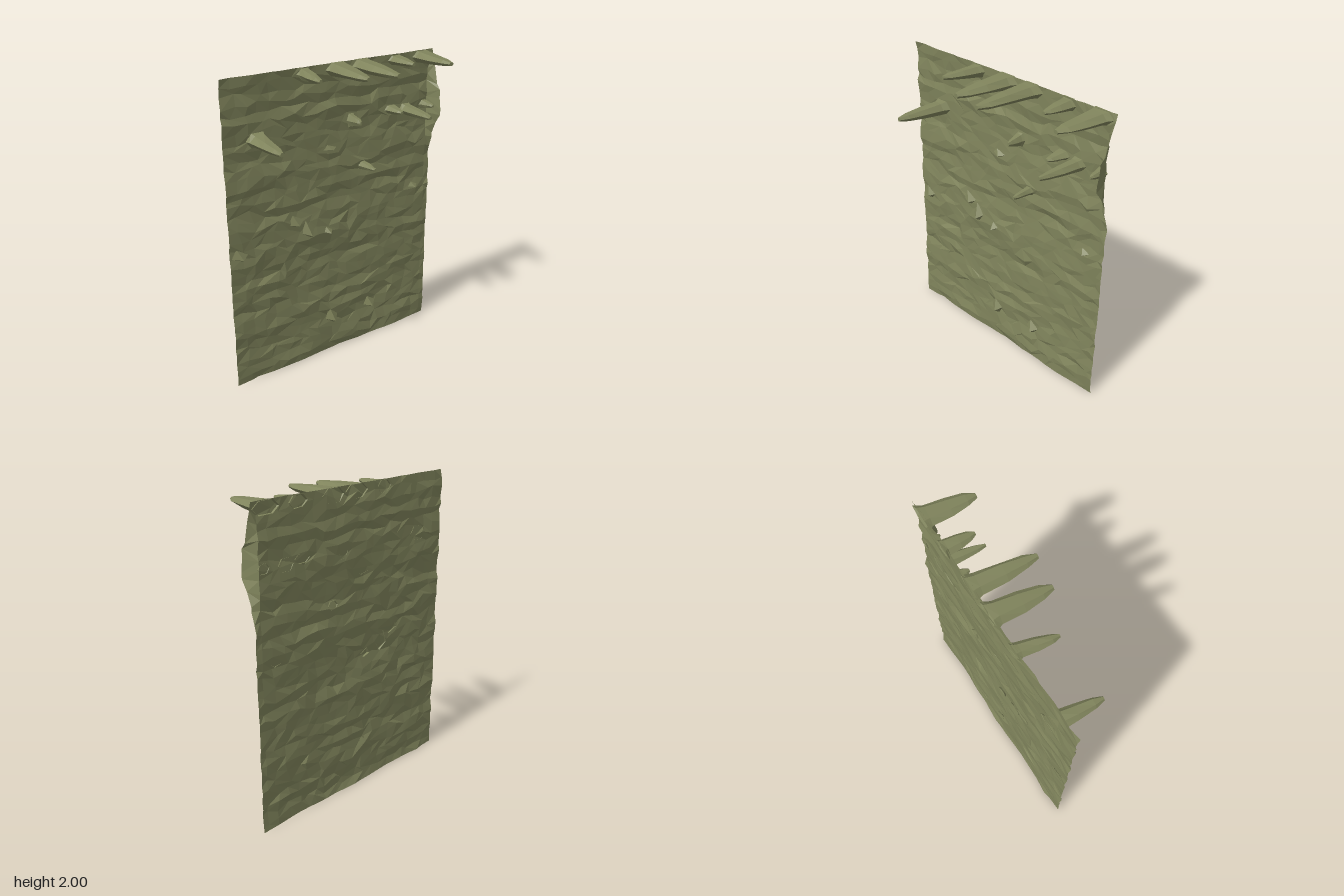
import * as THREE from 'three';

const W = 1.6, H = 2, COLS = 20, ROWS = 36;
const planeZ = (x) => -0.15 - 0.0965 * x;

function seeded(seed) {
  return () => {
    seed = (seed * 1664525 + 1013904223) % 4294967296;
    return seed / 4294967296;
  };
}

function meshFrom(name, positions, index, material) {
  let g = new THREE.BufferGeometry();
  g.setAttribute('position', new THREE.Float32BufferAttribute(positions, 3));
  g.setIndex(index);
  g = g.toNonIndexed();
  g.computeVertexNormals();
  const m = new THREE.Mesh(g, material);
  m.name = name;
  return m;
}

// Slanted sheet of rock: jittered grid with wide, flat strata
function rockSheet(material) {
  const rnd = seeded(7), pos = [], idx = [];
  const jit = (a) => (rnd() - 0.5) * 2 * a;
  for (let r = 0; r <= ROWS; r++) {
    const ledge = jit(0.005);
    let drift = 0;
    for (let c = 0; c <= COLS; c++) {
      const edgeX = c === 0 || c === COLS, edgeY = r === 0 || r === ROWS;
      let x = c === COLS ? W / 2 : -W / 2 + (c / (COLS - 1)) * (W - 0.04);
      let y = (r / ROWS) * H;
      if (!edgeX && c !== COLS - 1) x += jit(0.03);
      if (!edgeY) y += jit(0.02);
      drift = drift * 0.6 + jit(0.006);
      let z = planeZ(x) + ledge + drift + jit(0.004);
      // Lip folded forward at the upper corner
      if (c === COLS && y > 1.36 && y < 1.97) {
        const t = y > 1.62 ? (1.97 - y) / 0.35 : (y - 1.36) / 0.26;
        z += 0.13 * t;
      }
      pos.push(x, y, z);
    }
  }
  const n = COLS + 1;
  for (let r = 0; r < ROWS; r++) {
    for (let c = 0; c < COLS; c++) {
      const a = r * n + c, b = a + 1, d = a + n, e = d + 1;
      if (rnd() < 0.5) idx.push(a, b, e, a, e, d);
      else idx.push(a, b, d, b, e, d);
    }
  }
  return meshFrom('rockSheet', pos, idx, material);
}

// Tongue of rock: six-sided sections shrinking from the wall to a blunt tip
function ledge(name, [x, y, tipZ, halfW, halfH, lean = 0], i, material) {
  const rnd = seeded(31 + i * 17), pos = [], idx = [], N = 6;
  const z0 = planeZ(x) - 0.004;
  const stages = [[0, 1, 1], [0.12, 0.8, 0.85], [0.5, 0.66, 0.65], [0.82, 0.45, 0.45], [1, 0.18, 0.28]];
  stages.forEach(([t, w, h]) => {
    for (let k = 0; k < N; k++) {
      const a = (k / N) * Math.PI * 2, wob = 0.88 + rnd() * 0.18;
      const px = x + lean * t + Math.cos(a) * halfW * w * wob;
      const py = Math.min(H, y + Math.sin(a) * halfH * h * wob * 1.15);
      const pz = t === 0 ? planeZ(px) - 0.004 : z0 + (tipZ - z0) * t;
      pos.push(px, py, pz);
    }
  });
  for (let s = 0; s < stages.length - 1; s++) {
    for (let k = 0; k < N; k++) {
      const a = s * N + k, b = s * N + ((k + 1) % N);
      idx.push(a, b, b + N, a, b + N, a + N);
    }
  }
  const last = (stages.length - 1) * N;
  for (let k = 1; k < N - 1; k++) idx.push(last, last + k, last + k + 1);
  return meshFrom(name, pos, idx, material);
}

// Small shard: a sloping top face over a short undercut
function shard([x, y, w, h, out], material) {
  const p = (px, py, dz) => [px, py, planeZ(px) + dz];
  const pos = [
    ...p(x - w, y, 0), ...p(x + w, y + h * 0.2, 0), ...p(x - w * 0.4, y + h, 0),
    ...p(x + w * 0.2, y - h * 0.2, out), ...p(x + w * 0.3, y - h * 0.5, 0),
  ];
  return meshFrom('shard', pos, [0, 3, 2, 3, 1, 2, 0, 4, 3, 4, 1, 3], material);
}

export function createModel() {
  const rock = new THREE.MeshStandardMaterial({ color: 0x80845c, flatShading: true, side: THREE.DoubleSide });
  rock.name = 'mossy rock';
  const model = new THREE.Group();
  model.name = 'rockWall';
  model.add(rockSheet(rock));

  // x, y, tip z, half width, half height, sideways lean
  const topLedges = [
    [-0.23, 1.96, 0.12, 0.06, 0.04, -0.03],
    [0.01, 1.96, 0.22, 0.1, 0.045, -0.01],
    [0.2, 1.96, 0.235, 0.095, 0.045, 0],
    [0.47, 1.96, 0.0, 0.07, 0.035, 0.01],
    [0.7, 1.96, 0.11, 0.1, 0.04, -0.01],
  ];
  const lowerLedges = [
    [-0.57, 1.615, 0.24, 0.08, 0.045, -0.01],
    [0.12, 1.62, -0.06, 0.04, 0.045, 0.01],
    [0.45, 1.64, -0.07, 0.06, 0.03, 0],
    [0.57, 1.625, 0.09, 0.06, 0.04, -0.01],
    [0.73, 1.635, -0.12, 0.04, 0.03, 0.01],
    [0.21, 1.305, -0.03, 0.04, 0.03, 0.01],
  ];
  topLedges.forEach((l, i) => model.add(ledge('topLedge', l, i, rock)));
  lowerLedges.forEach((l, i) => model.add(ledge('lowerLedge', l, i + 20, rock)));

  // x, y, half width, height, reach
  const shards = [
    [-0.73, 0.9, 0.06, 0.06, 0.03], [-0.23, 0.94, 0.05, 0.09, 0.045],
    [-0.32, 1.02, 0.06, 0.06, 0.03], [-0.08, 0.91, 0.04, 0.04, 0.05],
    [-0.05, 0.25, 0.05, 0.09, 0.04], [0.28, 0.25, 0.05, 0.06, 0.035],
    [0.66, 1.06, 0.04, 0.03, 0.03], [-0.05, 1.46, 0.05, 0.03, 0.025],
  ];
  shards.forEach((s) => model.add(shard(s, rock)));
  return model;
}
